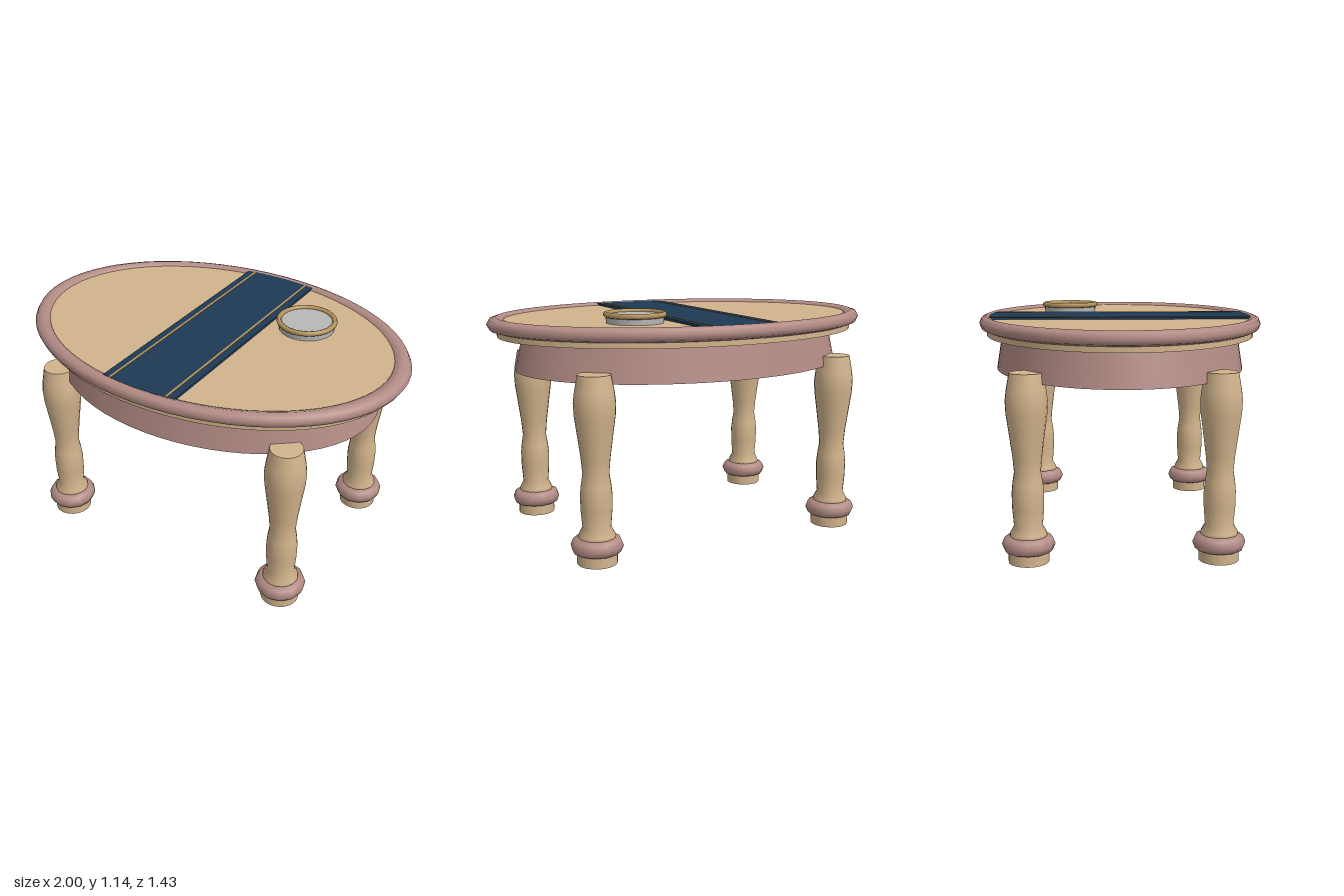
import * as THREE from 'three';

const mat = (name, color, side = THREE.FrontSide) => {
  const m = new THREE.MeshStandardMaterial({ color, side });
  m.name = name;
  return m;
};

export function createModel() {
  const wood = mat('tan wood', 0xd2b48c);
  const rose = mat('rose brown', 0xb48c86);
  const navy = mat('navy cloth', 0x1f3a56);
  const gold = mat('old gold', 0xb3935a);
  const grey = mat('silver grey', 0xb8b8b8);

  const table = new THREE.Group();
  table.name = 'ovalTable';
  const add = (parent, name, geometry, material, x = 0, y = 0, z = 0) => {
    const mesh = new THREE.Mesh(geometry, material);
    mesh.name = name;
    mesh.position.set(x, y, z);
    parent.add(mesh);
    return mesh;
  };
  const OVAL = 0.713; // depth of the oval relative to its width

  // Oval top, moulded rim and flared apron
  add(table, 'tabletop', new THREE.CylinderGeometry(0.95, 0.95, 0.08, 64).scale(1, 1, OVAL), wood, 0, 1.05);
  add(table, 'rim', new THREE.TorusGeometry(0.952, 0.048, 8, 64).rotateX(Math.PI / 2).scale(1, 0.72, OVAL), rose, 0, 1.071);
  add(table, 'apron', new THREE.CylinderGeometry(0.827, 0.865, 0.17, 64).scale(1, 1, 0.728), rose, 0, 0.925);

  // Cloth strips across the top, their ends following the oval
  const strip = (x0, x1, height) => {
    const end = (x) => 0.932 * OVAL * Math.sqrt(1 - (x / 0.932) ** 2);
    const shape = new THREE.Shape();
    const n = 8;
    for (let i = 0; i <= n; i++) {
      const x = x0 + ((x1 - x0) * i) / n;
      if (i === 0) shape.moveTo(x, -end(x));
      else shape.lineTo(x, -end(x));
    }
    for (let i = n; i >= 0; i--) {
      const x = x0 + ((x1 - x0) * i) / n;
      shape.lineTo(x, end(x));
    }
    return new THREE.ExtrudeGeometry(shape, { depth: height, bevelEnabled: false }).rotateX(-Math.PI / 2);
  };
  add(table, 'runner', strip(-0.197, 0.197, 0.012), navy, 0, 1.089);
  for (const x of [-0.155, 0.155]) {
    add(table, 'runnerStripe', strip(x - 0.006, x + 0.006, 0.003), gold, 0, 1.1);
  }

  // Round dish with a gold lip
  const dish = new THREE.Group();
  dish.name = 'dish';
  dish.position.set(0.37, 0, -0.26);
  table.add(dish);
  add(dish, 'dishBody', new THREE.CylinderGeometry(0.14, 0.138, 0.042, 32), grey, 0, 1.108);
  add(dish, 'dishLip', new THREE.TorusGeometry(0.139, 0.013, 8, 32).rotateX(Math.PI / 2), gold, 0, 1.13);

  // Turned legs, each with a foot and a ring
  const profile = [
    [0, 0.05], [0.088, 0.1], [0.086, 0.14], [0.067, 0.175], [0.074, 0.26], [0.075, 0.33], [0.07, 0.38],
    [0.062, 0.43], [0.068, 0.5], [0.084, 0.62], [0.095, 0.7], [0.098, 0.76], [0.092, 0.81], [0.077, 0.89],
  ].map(([r, y]) => new THREE.Vector2(r, y));
  const legShape = new THREE.LatheGeometry(profile, 20);
  const capShape = new THREE.CircleGeometry(0.077, 20).rotateX(-Math.PI / 2);
  const footShape = new THREE.CylinderGeometry(0.095, 0.095, 0.09, 20);
  const ringShape = new THREE.TorusGeometry(0.083, 0.042, 8, 12).rotateX(Math.PI / 2);
  for (const sx of [-1, 1]) {
    for (const sz of [-1, 1]) {
      const leg = new THREE.Group();
      leg.name = `${sz > 0 ? 'front' : 'back'}${sx > 0 ? 'Left' : 'Right'}Leg`;
      leg.position.set(sx * 0.657, 0, sz * 0.445);
      table.add(leg);
      add(leg, 'legPost', legShape, wood);
      add(leg, 'legCap', capShape, wood, 0, 0.89);
      add(leg, 'foot', footShape, wood, 0, 0.045);
      add(leg, 'ankleRing', ringShape, rose, 0, 0.087);
    }
  }
  return table;
}
